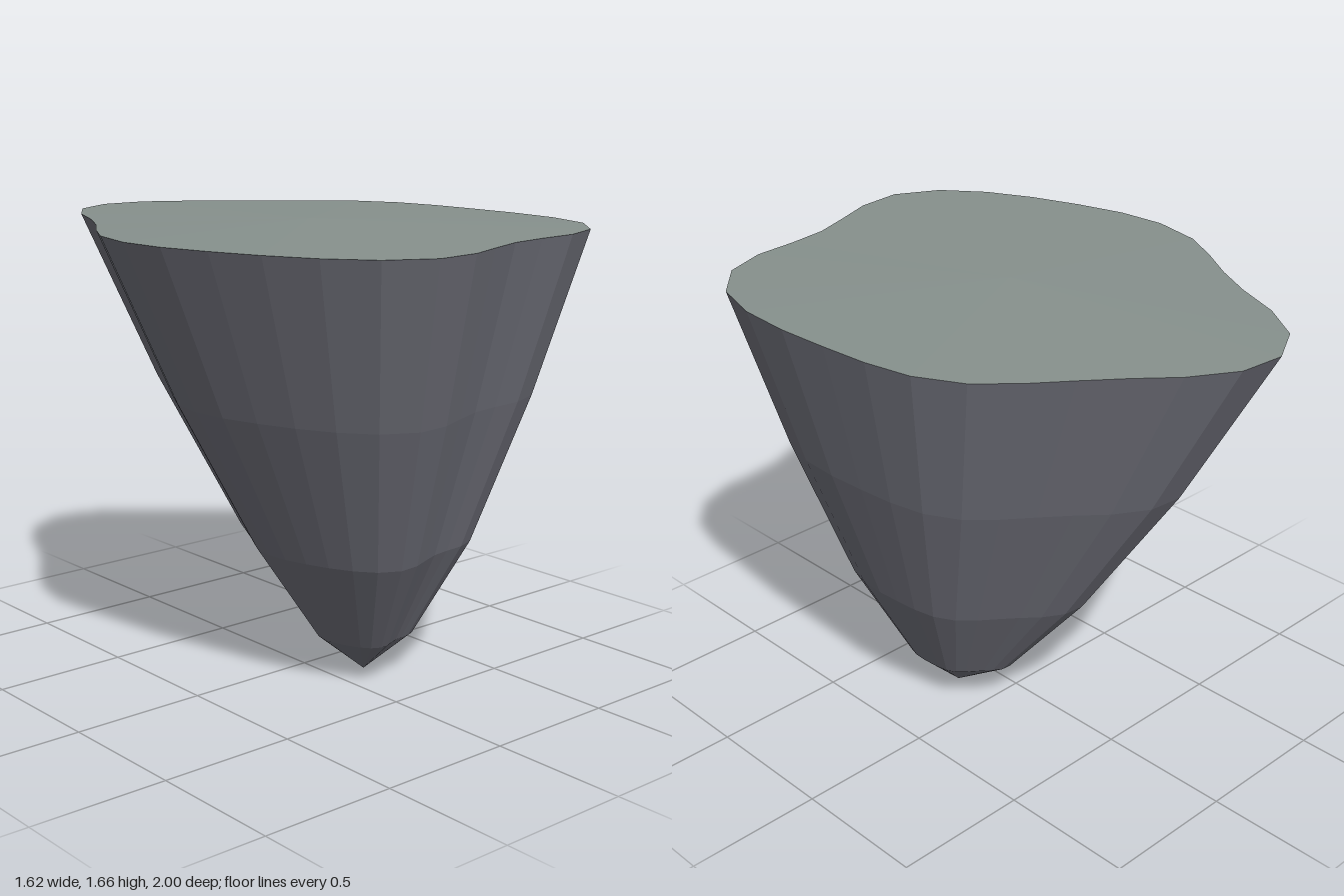
import * as THREE from 'three';

// Irregular rim outline seen from above, [x, z], starting at the back and running towards +x
const RIM = [
  [-0.17, -1], [0, -0.985], [0.16, -0.89], [0.285, -0.78], [0.41, -0.68], [0.54, -0.58], [0.66, -0.465], [0.745, -0.305],
  [0.78, -0.13], [0.795, 0.055], [0.805, 0.25], [0.795, 0.45], [0.74, 0.64], [0.61, 0.785], [0.45, 0.845], [0.29, 0.855],
  [0.14, 0.875], [-0.01, 0.93], [-0.15, 0.985], [-0.32, 1], [-0.48, 0.915], [-0.595, 0.77], [-0.68, 0.6], [-0.745, 0.42],
  [-0.795, 0.24], [-0.81, 0.06], [-0.77, -0.13], [-0.69, -0.275], [-0.595, -0.42], [-0.515, -0.57], [-0.44, -0.75], [-0.33, -0.91],
];

// Rings of the rock from rim to tip: the rim outline scaled and shifted
const RINGS = [
  { y: 1.645, scale: 1, x: 0, z: 0 },
  { y: 1.06, scale: 0.748, x: 0.045, z: 0.052 },
  { y: 0.515, scale: 0.465, x: 0.091, z: 0.115 },
  { y: 0.15, scale: 0.208, x: 0.122, z: 0.153 },
];
const TIP = [0.135, 0, 0.18];
const CROWN = [0, 1.663, 0.03];

const ringPoints = ({ y, scale, x, z }) => RIM.map(([px, pz]) => [px * scale + x, y, pz * scale + z]);

function facetedMesh(name, triangles, color) {
  const geometry = new THREE.BufferGeometry();
  geometry.setAttribute('position', new THREE.Float32BufferAttribute(triangles.flat(2), 3));
  geometry.computeVertexNormals();
  const mesh = new THREE.Mesh(geometry, new THREE.MeshStandardMaterial({ color, flatShading: true }));
  mesh.name = name;
  return mesh;
}

export function createModel() {
  const group = new THREE.Group();
  group.name = 'floatingIsland';
  const rings = RINGS.map(ringPoints);
  const count = RIM.length;
  const rock = [];
  const ground = [];

  for (let i = 0; i < count; i++) {
    const j = (i + 1) % count;
    // Side bands
    for (let r = 0; r < rings.length - 1; r++) {
      const a = rings[r], b = rings[r + 1];
      rock.push([a[i], a[j], b[j]], [a[i], b[j], b[i]]);
    }
    // Pointed underside
    const last = rings[rings.length - 1];
    rock.push([last[i], last[j], TIP]);
    // Slightly domed top
    ground.push([CROWN, rings[0][j], rings[0][i]]);
  }

  group.add(facetedMesh('rockUnderside', rock, 0x74757f));
  group.add(facetedMesh('groundTop', ground, 0x87918d));
  return group;
}
